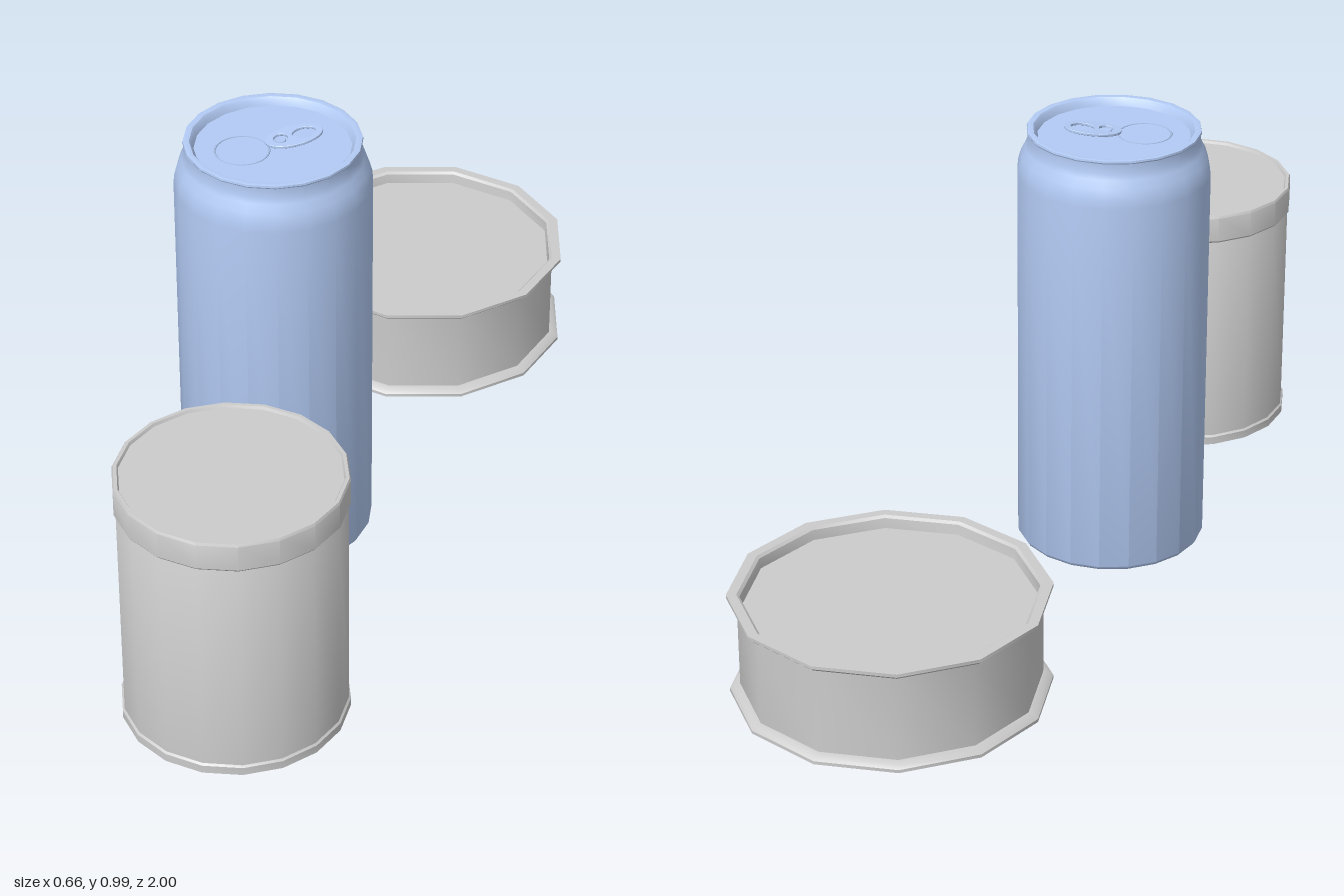
import * as THREE from 'three';
import { toCreasedNormals } from 'three/addons/utils/BufferGeometryUtils.js';

const grey = new THREE.MeshStandardMaterial({ color: 0xcccccc });
const blue = new THREE.MeshStandardMaterial({ color: 0xb3cbf5 });

// Revolves a [radius, height] profile listed from bottom centre to top centre
function turned(name, profile, sides, material) {
  const points = profile.map(([r, y]) => new THREE.Vector2(r, y));
  const geometry = toCreasedNormals(new THREE.LatheGeometry(points, sides), 0.62);
  const mesh = new THREE.Mesh(geometry, material);
  mesh.name = name;
  return mesh;
}

function ovalPath(PathType, cx, rx, ry) {
  const path = new PathType();
  path.absellipse(cx, 0, rx, ry, 0, Math.PI * 2, false, 0);
  return path;
}

function makeDrinkCan() {
  const can = new THREE.Group();
  can.name = 'drinkCan';

  // Domed base, straight wall, narrowed neck, rolled rim and sunken lid
  can.add(turned('canBody', [
    [0, 0.035], [0.07, 0.031], [0.115, 0.02], [0.135, 0.004], [0.142, 0], [0.15, 0.002],
    [0.172, 0.012], [0.19, 0.022], [0.2, 0.028], [0.205, 0.036],
    [0.205, 0.88], [0.203, 0.9], [0.197, 0.92], [0.188, 0.938], [0.183, 0.95],
    [0.183, 0.972], [0.185, 0.975], [0.184, 0.979], [0.18, 0.98], [0.171, 0.979],
    [0.167, 0.974], [0.162, 0.962], [0.158, 0.962], [0, 0.962],
  ], 20, blue));

  const opener = new THREE.Group();
  opener.name = 'opener';
  opener.rotation.y = 0.55;
  can.add(opener);

  // Score line of the mouth
  const score = new THREE.Mesh(new THREE.TorusGeometry(0.056, 0.002, 4, 24), blue);
  score.name = 'mouthScore';
  score.rotation.x = Math.PI / 2;
  score.position.set(-0.065, 0.962, 0);
  opener.add(score);

  // Pull tab with a finger hole and a rivet hole, raised at its tail
  const outline = ovalPath(THREE.Shape, 0, 0.06, 0.036);
  outline.holes.push(ovalPath(THREE.Path, 0.022, 0.026, 0.022), ovalPath(THREE.Path, -0.028, 0.016, 0.018));
  const tabGeometry = new THREE.ExtrudeGeometry(outline, {
    depth: 0.004, bevelEnabled: true, bevelThickness: 0.001, bevelSize: 0.001, bevelSegments: 1, curveSegments: 20,
  });
  tabGeometry.rotateX(-Math.PI / 2);
  const tab = new THREE.Mesh(toCreasedNormals(tabGeometry, 0.6), blue);
  tab.name = 'pullTab';
  tab.position.set(0.045, 0.976, 0);
  tab.rotation.z = 0.12;
  opener.add(tab);

  const rivet = new THREE.Mesh(new THREE.CylinderGeometry(0.011, 0.013, 0.014, 12), blue);
  rivet.name = 'rivet';
  rivet.position.set(0.016, 0.968, 0);
  opener.add(rivet);

  can.position.set(-0.12, 0, 0.135);
  return can;
}

function makeTallTin() {
  const tin = new THREE.Group();
  tin.name = 'tallTin';
  // Base seam and wall up to the groove under the lid
  tin.add(turned('tallTinBody', [
    [0, 0.03], [0.235, 0.03], [0.235, 0.048], [0.231, 0.052],
    [0.231, 0.53], [0.227, 0.537], [0.227, 0.545], [0, 0.545],
  ], 18, grey));
  // Lid with a thin raised rim
  tin.add(turned('tallTinLid', [
    [0, 0.541], [0.232, 0.541], [0.235, 0.545], [0.235, 0.6], [0.232, 0.605],
    [0.225, 0.605], [0.222, 0.599], [0, 0.599],
  ], 18, grey));
  tin.position.set(-0.027, 0, 0.763);
  return tin;
}

function makeFlatTin() {
  const tin = new THREE.Group();
  tin.name = 'flatTin';
  // Flat base, flanged wall and recessed top
  tin.add(turned('flatTinBody', [
    [0, 0.03], [0.33, 0.03], [0.33, 0.037], [0.322, 0.044], [0.309, 0.047],
    [0.309, 0.238], [0.322, 0.241], [0.33, 0.248], [0.33, 0.255],
    [0.309, 0.255], [0.303, 0.25], [0.3, 0.228], [0, 0.228],
  ], 12, grey));
  tin.position.set(0, 0, -0.67);
  return tin;
}

export function createModel() {
  const model = new THREE.Group();
  model.name = 'cannedGoods';
  model.add(makeDrinkCan(), makeTallTin(), makeFlatTin());
  return model;
}
